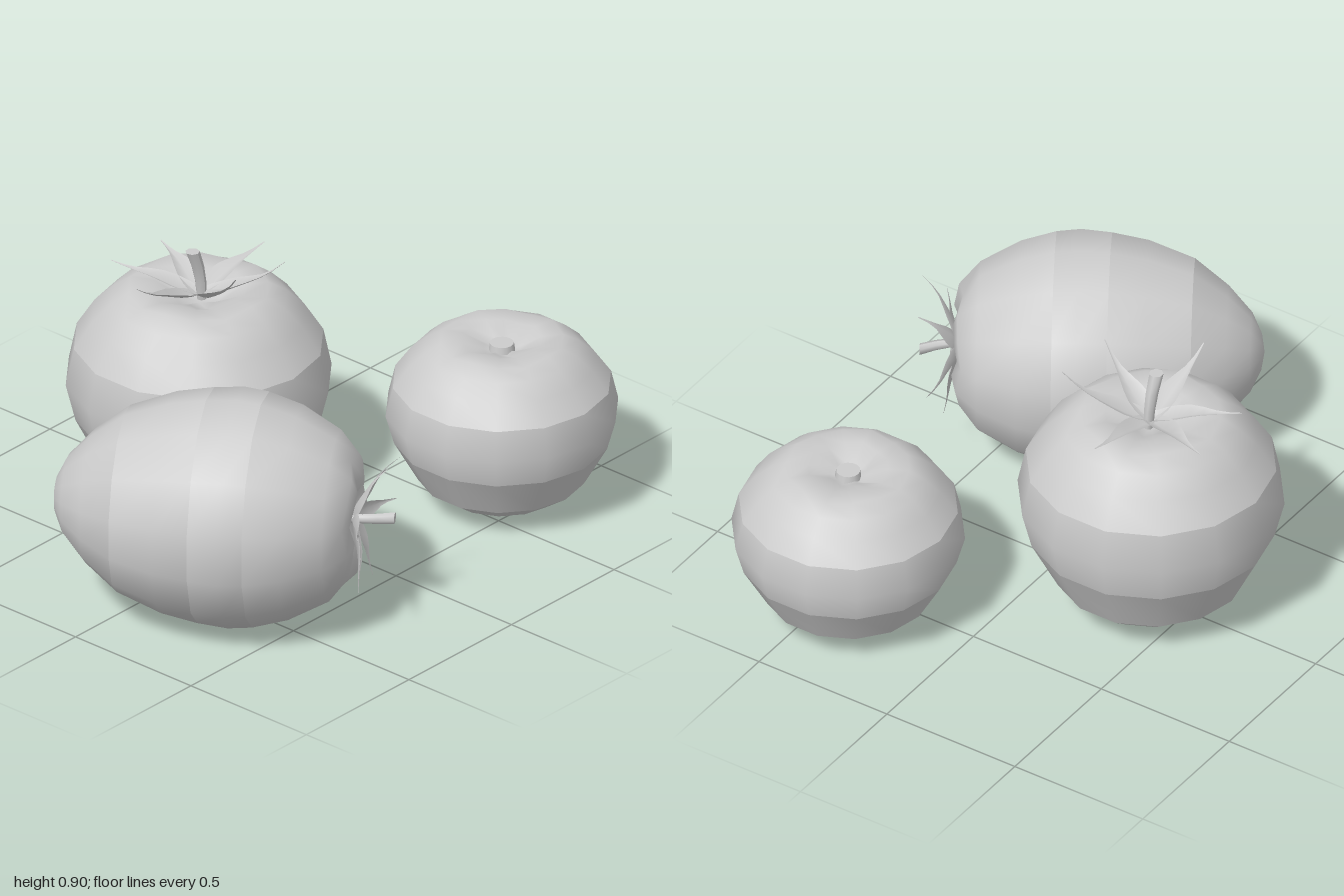
import * as THREE from 'three';
import { mergeVertices, mergeGeometries } from 'three/addons/utils/BufferGeometryUtils.js';

const material = new THREE.MeshStandardMaterial({ color: 0xcccccc });
const leafMaterial = new THREE.MeshStandardMaterial({ color: 0xcccccc, side: THREE.DoubleSide });

// Fruit skin: each band of the profile is smooth in itself, with an edge between bands.
// Near the top, the shoulder is gently lobed.
function fruitGeometry(bands, lobeStart) {
  const parts = bands.map((band) => {
    const geo = new THREE.LatheGeometry(band.map(([r, y]) => new THREE.Vector2(r, y)), 14);
    geo.deleteAttribute('uv');
    geo.deleteAttribute('normal');
    const pos = geo.attributes.position;
    for (let i = 0; i < pos.count; i++) {
      const x = pos.getX(i), y = pos.getY(i), z = pos.getZ(i);
      const r = Math.hypot(x, z);
      if (y > lobeStart && r > 0.03 && r < 0.27) {
        pos.setY(i, y + 0.01 * Math.cos(5 * Math.atan2(x, z)) - 0.003);
      }
    }
    const welded = mergeVertices(geo, 1e-4);
    welded.computeVertexNormals();
    return welded.toNonIndexed();
  });
  return mergeGeometries(parts);
}

// One sepal: a tapering, creased strip that lies on the shoulder and curls up at its tip
function sepalGeometry(length, rise, sway) {
  const steps = 7, positions = [], index = [];
  for (let i = 0; i <= steps; i++) {
    const t = i / steps;
    const half = 0.024 * (1 - t) + 0.032 * Math.sin(Math.PI * Math.min(1, t * 1.25)) * (1 - t) + 0.002;
    const y = 0.022 + 0.04 * Math.min(1, t * 2) + rise * t ** 2.6;
    const side = sway * t * t;
    positions.push(length * t, y + half * 0.35, side - half);
    positions.push(length * t, y - half * 0.2, side);
    positions.push(length * t, y + half * 0.35, side + half);
    if (i === steps) break;
    for (const k of [0, 1]) {
      const a = i * 3 + k;
      index.push(a, a + 1, a + 3, a + 1, a + 4, a + 3);
    }
  }
  const geo = new THREE.BufferGeometry();
  geo.setAttribute('position', new THREE.Float32BufferAttribute(positions, 3));
  geo.setIndex(index);
  geo.computeVertexNormals();
  return geo;
}

// Calyx: six sepals and a short leaning stem that widens at its cut end
function createCalyx() {
  const calyx = new THREE.Group();
  calyx.name = 'calyx';
  const sepals = [
    // angle, length, rise, sway
    [0, 0.31, 0.03, 0.01], [62, 0.30, 0.01, -0.02], [116, 0.30, 0.03, 0.02],
    [180, 0.29, 0.09, 0.01], [246, 0.25, 0.13, -0.02], [300, 0.29, 0.12, 0.02],
  ];
  for (const [angle, length, rise, sway] of sepals) {
    const sepal = new THREE.Mesh(sepalGeometry(length, rise, sway), leafMaterial);
    sepal.name = 'sepal';
    sepal.rotation.y = THREE.MathUtils.degToRad(angle);
    calyx.add(sepal);
  }
  const stemGeo = new THREE.CylinderGeometry(0.024, 0.016, 0.19, 7, 3);
  const pos = stemGeo.attributes.position;
  for (let i = 0; i < pos.count; i++) {
    const t = pos.getY(i) / 0.19 + 0.5;
    pos.setX(i, pos.getX(i) + 0.015 - 0.045 * t * t);
  }
  stemGeo.computeVertexNormals();
  const stem = new THREE.Mesh(stemGeo, material);
  stem.name = 'stem';
  stem.position.y = 0.095;
  calyx.add(stem);
  return calyx;
}

function createFruit(name, geometry) {
  const group = new THREE.Group();
  group.name = name;
  const skin = new THREE.Mesh(geometry, material);
  skin.name = 'skin';
  group.add(skin);
  return group;
}

export function createModel() {
  const model = new THREE.Group();
  model.name = 'tomatoes';

  // Round tomatoes share one skin
  const roundGeo = fruitGeometry([
    [[0, 0.014], [0.14, 0.018]],
    [[0.14, 0.018], [0.225, 0.05], [0.315, 0.12]],
    [[0.315, 0.12], [0.405, 0.30]],
    [[0.405, 0.30], [0.437, 0.43], [0.41, 0.56]],
    [[0.41, 0.56], [0.35, 0.655], [0.29, 0.715], [0.23, 0.755], [0.15, 0.753], [0.07, 0.715], [0, 0.695]],
  ], 0.7);

  const large = createFruit('largeTomato', roundGeo);
  large.position.set(0.005, 0, -0.36);
  const largeCalyx = createCalyx();
  largeCalyx.position.y = 0.705;
  large.add(largeCalyx);
  model.add(large);

  const small = createFruit('smallTomato', roundGeo);
  small.scale.set(0.875, 0.78, 0.875);
  small.position.set(0.617, 0.004, 0.41);
  const scar = new THREE.Mesh(new THREE.CylinderGeometry(0.045, 0.052, 0.05, 14), material);
  scar.name = 'stemScar';
  scar.position.y = 0.71;
  small.add(scar);
  model.add(small);

  // Long tomato lying on its side, stem end turned to the front
  const long = createFruit('longTomato', fruitGeometry([
    [[0, -0.64], [0.06, -0.63], [0.13, -0.597], [0.215, -0.52], [0.30, -0.41]],
    [[0.30, -0.41], [0.356, -0.26], [0.378, -0.14]],
    [[0.378, -0.14], [0.387, -0.04], [0.378, 0.04]],
    [[0.378, 0.04], [0.345, 0.155], [0.275, 0.285], [0.20, 0.35], [0.13, 0.365], [0.06, 0.335], [0, 0.315]],
  ], 0.32));
  long.rotation.set(Math.PI / 2, 0.557, 0, 'YXZ');
  long.scale.z = 1.02;
  long.position.set(-0.52, 0.395, 0.323);
  const longCalyx = createCalyx();
  longCalyx.scale.setScalar(0.8);
  longCalyx.rotation.y = Math.PI - 0.15;
  longCalyx.position.y = 0.325;
  long.add(longCalyx);
  model.add(long);

  return model;
}
